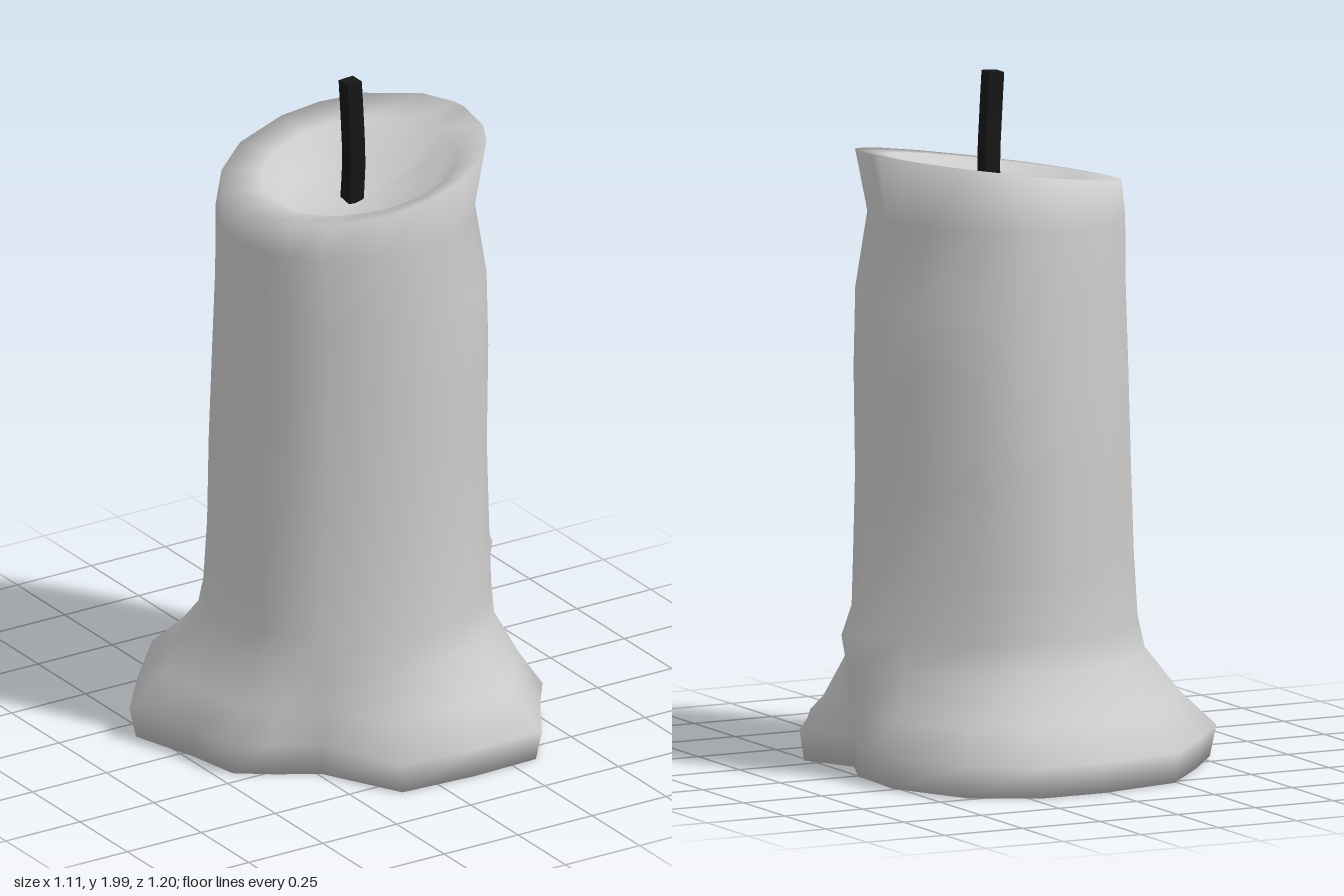
import * as THREE from 'three';

// Outline of the melted foot as [x, z], running from +x towards +z
const FOOT = [
  [0.51, -0.01], [0.44, 0.14], [0.525, 0.31], [0.44, 0.43], [0.34, 0.595], [0.12, 0.6], [-0.12, 0.585],
  [-0.24, 0.34], [-0.36, 0.27], [-0.46, 0.2], [-0.49, 0.04], [-0.56, -0.175], [-0.42, -0.35],
  [-0.25, -0.54], [0.02, -0.6], [0.22, -0.6], [0.41, -0.5], [0.525, -0.24], [0.51, -0.07],
];
const N = FOOT.length;

// How strongly the side drip pushes out each of the spokes around +x
const DRIP = { 0: 1, 17: 0.35, 18: 0.8 };

// Cross-sections: y, centre x, centre z, radius x, radius z, blend to the foot, side drip, slope
const RINGS = [
  [0.01, 0.05, 0.02, 0.40, 0.40, 0.92, 0, 0],
  [0.10, 0.05, 0.02, 0.40, 0.40, 1.00, 0, 0],
  [0.20, 0.045, 0.025, 0.41, 0.405, 0.54, 0.05, 0],
  [0.33, 0.04, 0.03, 0.405, 0.41, 0.10, 0.085, 0],
  [0.42, 0.045, 0.03, 0.40, 0.405, 0.05, 0.105, 0],
  [0.60, 0.05, 0.025, 0.40, 0.395, 0.02, 0.035, 0],
  [0.85, 0.055, 0.015, 0.395, 0.40, 0, 0.01, 0],
  [1.15, 0.06, 0.02, 0.395, 0.39, 0, 0, 0],
  [1.38, 0.06, 0.023, 0.39, 0.38, 0, 0, 0],
  [1.59, 0.04, 0.025, 0.37, 0.37, 0, 0, 0.03],
  [1.735, 0.065, 0.03, 0.39, 0.35, 0, 0, 0.16],
  [1.73, 0.06, 0.065, 0.285, 0.27, 0, 0, 0.15],
  [1.655, 0.055, 0.08, 0.215, 0.215, 0, 0, 0.10],
];

function ringPoints([y, cx, cz, rx, rz, blend, drip, slope]) {
  return FOOT.map(([fx, fz], i) => {
    const a = Math.atan2(fz - 0.02, fx - 0.05);
    const x = THREE.MathUtils.lerp(cx + rx * Math.cos(a), fx, blend) + drip * (DRIP[i] ?? 0);
    const z = THREE.MathUtils.lerp(cz + rz * Math.sin(a), fz, blend);
    return [x, y + slope * (x - 0.06 - 0.25 * z), z];
  });
}

// Wax body: underside, foot, shaft, sloping rim and the hollow around the wick
function waxGeometry() {
  const points = RINGS.flatMap(ringPoints);
  const last = (RINGS.length - 1) * N;
  const bottom = points.push([0.02, 0.01, 0]) - 1;
  const hollow = points.push([0.05, 1.615, 0.06]) - 1;
  const index = [];
  for (let i = 0; i < N; i++) {
    const next = (i + 1) % N;
    for (let r = 0; r < last; r += N) {
      index.push(r + i, r + N + i, r + next, r + next, r + N + i, r + N + next);
    }
    index.push(bottom, i, next, hollow, last + next, last + i);
  }
  const g = new THREE.BufferGeometry();
  g.setAttribute('position', new THREE.Float32BufferAttribute(points.flat(), 3));
  g.setIndex(index);
  g.computeVertexNormals();
  return g;
}

// Bent square wick
function wickGeometry() {
  const path = new THREE.CatmullRomCurve3([
    new THREE.Vector3(0.052, 1.59, 0.04), new THREE.Vector3(0.055, 1.73, 0.048),
    new THREE.Vector3(0.042, 1.86, 0.062), new THREE.Vector3(0.034, 1.998, 0.062),
  ]);
  const h = 0.024;
  const square = new THREE.Shape([[-h, -h], [h, -h], [h, h], [-h, h]].map(([x, y]) => new THREE.Vector2(x, y)));
  return new THREE.ExtrudeGeometry(square, { steps: 6, extrudePath: path });
}

export function createModel() {
  const group = new THREE.Group();
  const wax = new THREE.Mesh(waxGeometry(), new THREE.MeshStandardMaterial({ color: 0xcccccc }));
  wax.name = 'waxBody';
  const wick = new THREE.Mesh(wickGeometry(), new THREE.MeshStandardMaterial({ color: 0x161616, flatShading: true }));
  wick.name = 'wick';
  group.add(wax, wick);
  return group;
}
